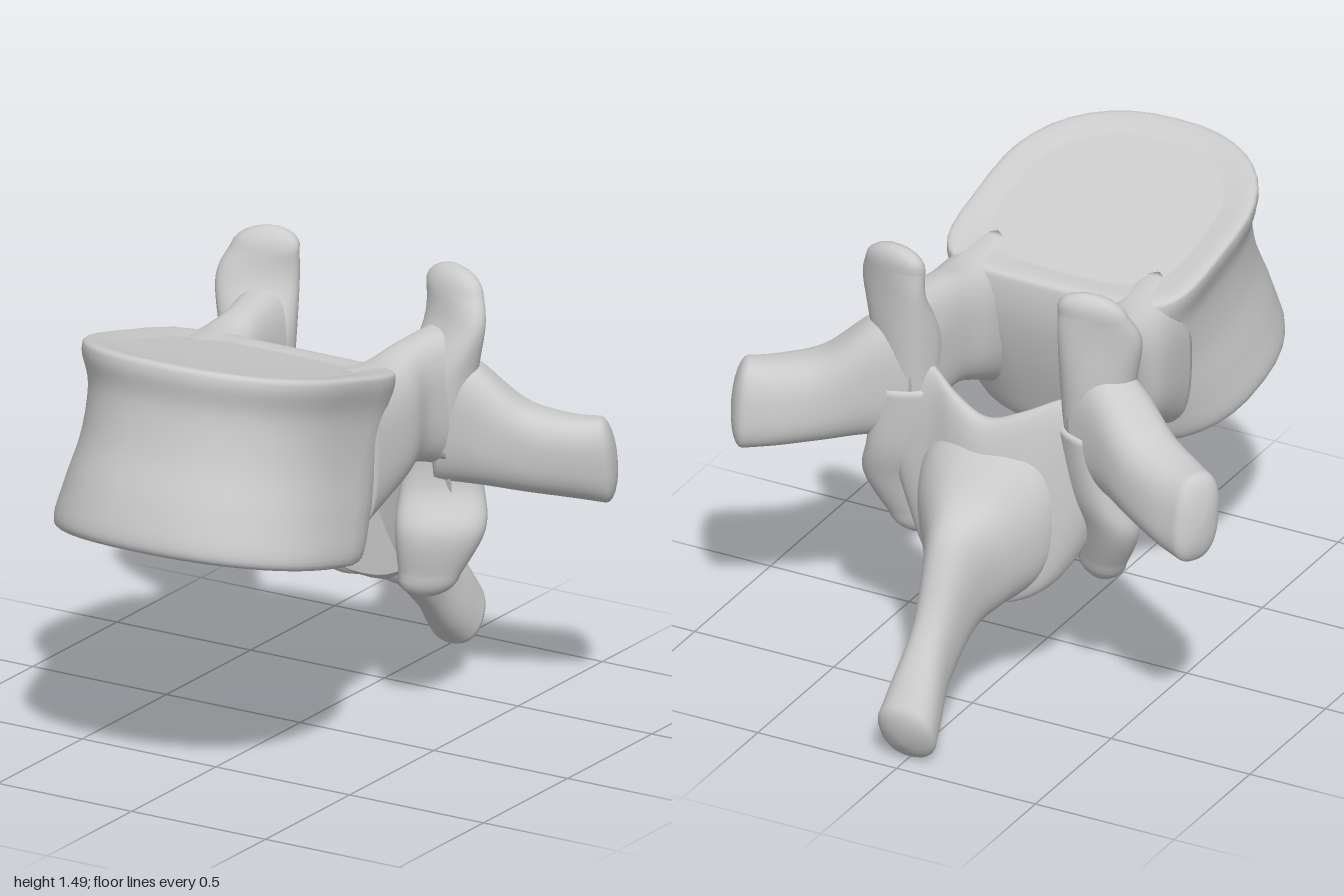
import * as THREE from 'three';

const SIDES = 40;
const material = new THREE.MeshStandardMaterial({ color: 0xcccccc });
const spow = (v, e) => Math.sign(v) * Math.abs(v) ** e;

// Smoothly interpolate rows of numbers
function refine(rows, steps = 6) {
  const out = [];
  const at = i => rows[Math.max(0, Math.min(rows.length - 1, i))];
  for (let i = 0; i < rows.length - 1; i++) {
    for (let s = 0; s < steps; s++) {
      const t = s / steps;
      out.push(rows[i].map((b, k) => {
        const a = at(i - 1)[k], c = at(i + 1)[k], d = at(i + 2)[k];
        return b + 0.5 * t * (c - a + t * (2 * a - 5 * b + 4 * c - d + t * (3 * (b - c) + d - a)));
      }));
    }
  }
  out.push(rows[rows.length - 1]);
  return out;
}

// Closed smooth skin over a list of rings, always wound outwards
function skin(name, rings) {
  const n = SIDES, pos = [], idx = [];
  rings.forEach(r => r.forEach(p => pos.push(p.x, p.y, p.z)));
  for (let i = 0; i < rings.length - 1; i++) {
    for (let j = 0; j < n; j++) {
      const a = i * n + j, b = i * n + (j + 1) % n;
      idx.push(a, b, b + n, a, b + n, a + n);
    }
  }
  [0, rings.length - 1].forEach(r => {
    const c = new THREE.Vector3();
    rings[r].forEach(p => c.addScaledVector(p, 1 / n));
    const pole = pos.length / 3;
    pos.push(c.x, c.y, c.z);
    for (let j = 0; j < n; j++) {
      const a = r * n + j, b = r * n + (j + 1) % n;
      if (r === 0) idx.push(pole, b, a);
      else idx.push(pole, a, b);
    }
  });
  // Signed volume tells whether the faces point inwards
  const v = i => new THREE.Vector3().fromArray(pos, i * 3);
  let volume = 0;
  for (let i = 0; i < idx.length; i += 3) volume += v(idx[i]).dot(v(idx[i + 1]).cross(v(idx[i + 2])));
  if (volume < 0) idx.reverse();
  const g = new THREE.BufferGeometry();
  g.setAttribute('position', new THREE.Float32BufferAttribute(pos, 3));
  g.setIndex(idx);
  g.computeVertexNormals();
  const mesh = new THREE.Mesh(g, material);
  mesh.name = name;
  return mesh;
}

// Sections are [centre xyz, half axis U xyz, half axis V xyz]; dome rounds off the far end
function limb(name, sections, { dome = 0, power = 2.3, mirror = 1 } = {}) {
  const rows = refine(sections);
  if (dome) {
    const last = rows[rows.length - 1], prev = rows[rows.length - 2];
    const dir = new THREE.Vector3(last[0] - prev[0], last[1] - prev[1], last[2] - prev[2]).normalize().toArray();
    for (let k = 1; k <= 6; k++) {
      const a = k / 6 * 1.5;
      rows.push(last.map((q, i) => i < 3 ? q + dir[i] * dome * Math.sin(a) : q * Math.cos(a)));
    }
  }
  return skin(name, rows.map(r => Array.from({ length: SIDES }, (_, j) => {
    const t = j / SIDES * Math.PI * 2;
    const c = spow(Math.cos(t), 2 / power), s = spow(Math.sin(t), 2 / power);
    return new THREE.Vector3(
      mirror * (r[0] + c * r[3] + s * r[6]), r[1] + c * r[4] + s * r[7], r[2] + c * r[5] + s * r[8]);
  })));
}

// Waisted, tilted body: rows of back z, front z, back y, front y, half width, back squareness
function body() {
  const rows = refine([
    [0.30, 0.86, 0.725, 0.885, 0.30, 2.6],
    [0.19, 0.95, 0.685, 0.865, 0.42, 2.6],
    [0.13, 0.995, 0.69, 0.90, 0.475, 2.6],
    [0.08, 0.96, 0.81, 1.03, 0.455, 3],
    [0.03, 0.90, 0.97, 1.18, 0.425, 3.6],
    [0.00, 0.865, 1.12, 1.33, 0.42, 4.5],
    [0.00, 0.87, 1.235, 1.435, 0.445, 5],
    [0.02, 0.845, 1.27, 1.47, 0.43, 5],
    [0.10, 0.75, 1.275, 1.435, 0.34, 4],
  ]);
  return skin('vertebralBody', rows.map(([zb, zf, yb, yf, w, nb]) =>
    Array.from({ length: SIDES }, (_, j) => {
      const t = j / SIDES * Math.PI * 2, e = 2 / (Math.sin(t) > 0 ? 2.3 : nb);
      const k = spow(Math.sin(t), e) * 0.5 + 0.5;
      return new THREE.Vector3(w * spow(Math.cos(t), e), yb + (yf - yb) * k, zb + (zf - zb) * k);
    })));
}

export function createModel() {
  const model = new THREE.Group();
  model.name = 'vertebra';
  model.add(body());

  // Arch of the two laminae behind the canal
  const half = [
    [0.37, 0.90, -0.31, 0.03, 0, 0.06, 0, 0.20, 0.02],
    [0.24, 0.77, -0.355, 0.03, 0, 0.06, 0, 0.31, 0.03],
    [0.12, 0.70, -0.405, 0.015, 0, 0.055, 0, 0.33, 0.02],
  ];
  const other = half.map(r => r.map((q, i) => i % 3 === 0 ? -q : q)).reverse();
  model.add(limb('laminae', [...half, [0, 0.68, -0.43, 0, 0, 0.055, 0, 0.31, 0.02], ...other], { power: 2.6 }));

  // Rear spine: upper y, z, lower y, z, half width
  const spine = [
    [0.97, -0.38, 0.40, -0.37, 0.25],
    [0.89, -0.46, 0.37, -0.42, 0.23],
    [0.78, -0.56, 0.35, -0.50, 0.165],
    [0.68, -0.69, 0.30, -0.59, 0.095],
    [0.46, -0.80, 0.17, -0.74, 0.07],
    [0.29, -0.92, 0.06, -0.84, 0.09],
    [0.21, -0.975, 0.015, -0.885, 0.10],
  ].map(([uy, uz, ly, lz, w]) =>
    [0, (uy + ly) / 2, (uz + lz) / 2, w, 0, 0, 0, (uy - ly) / 2, (uz - lz) / 2]);
  model.add(limb('rearSpine', spine, { dome: 0.05 }));

  // Paired parts
  for (const [side, mirror] of [['left', 1], ['right', -1]]) {
    model.add(limb(side + 'Pedicle', [
      [0.29, 1.03, 0.20, 0.12, 0, 0, 0, 0.27, 0],
      [0.305, 1.07, 0.00, 0.12, 0, 0, 0, 0.21, 0],
      [0.31, 1.10, -0.14, 0.095, 0, 0, 0, 0.20, 0],
      [0.34, 1.08, -0.32, 0.11, 0, 0, 0, 0.24, 0],
    ], { mirror, power: 2.6 }));

    model.add(limb(side + 'UpperFacet', [
      [0.34, 0.90, -0.30, 0.09, 0, 0.04, -0.03, 0, 0.07],
      [0.345, 1.15, -0.30, 0.11, 0, 0.05, -0.04, 0, 0.09],
      [0.37, 1.33, -0.335, 0.125, 0, 0.05, -0.02, 0, 0.055],
      [0.355, 1.43, -0.355, 0.11, 0, 0.03, -0.02, 0, 0.045],
    ], { mirror, dome: 0.075 }));

    model.add(limb(side + 'SideWing', [
      [0.32, 1.03, -0.30, 0.04, 0, 0.09, 0, 0.23, 0],
      [0.45, 1.00, -0.34, 0.05, 0, 0.10, 0, 0.20, 0],
      [0.59, 0.93, -0.405, 0.05, 0, 0.10, 0, 0.15, 0.01],
      [0.72, 0.90, -0.47, 0.05, 0, 0.09, 0, 0.14, 0.02],
      [0.81, 0.89, -0.515, 0.04, 0, 0.075, 0, 0.145, 0.02],
    ], { mirror, dome: 0.045, power: 2.6 }));

    model.add(limb(side + 'LowerFacet', [
      [0.33, 1.00, -0.33, 0.09, 0, -0.05, 0.05, 0, 0.07],
      [0.33, 0.79, -0.32, 0.11, 0, -0.07, 0.04, 0, 0.06],
      [0.355, 0.65, -0.27, 0.12, 0, -0.08, 0.05, 0, 0.07],
      [0.33, 0.50, -0.245, 0.085, 0, -0.05, 0.035, 0, 0.05],
    ], { mirror, dome: 0.08 }));
  }
  return model;
}
